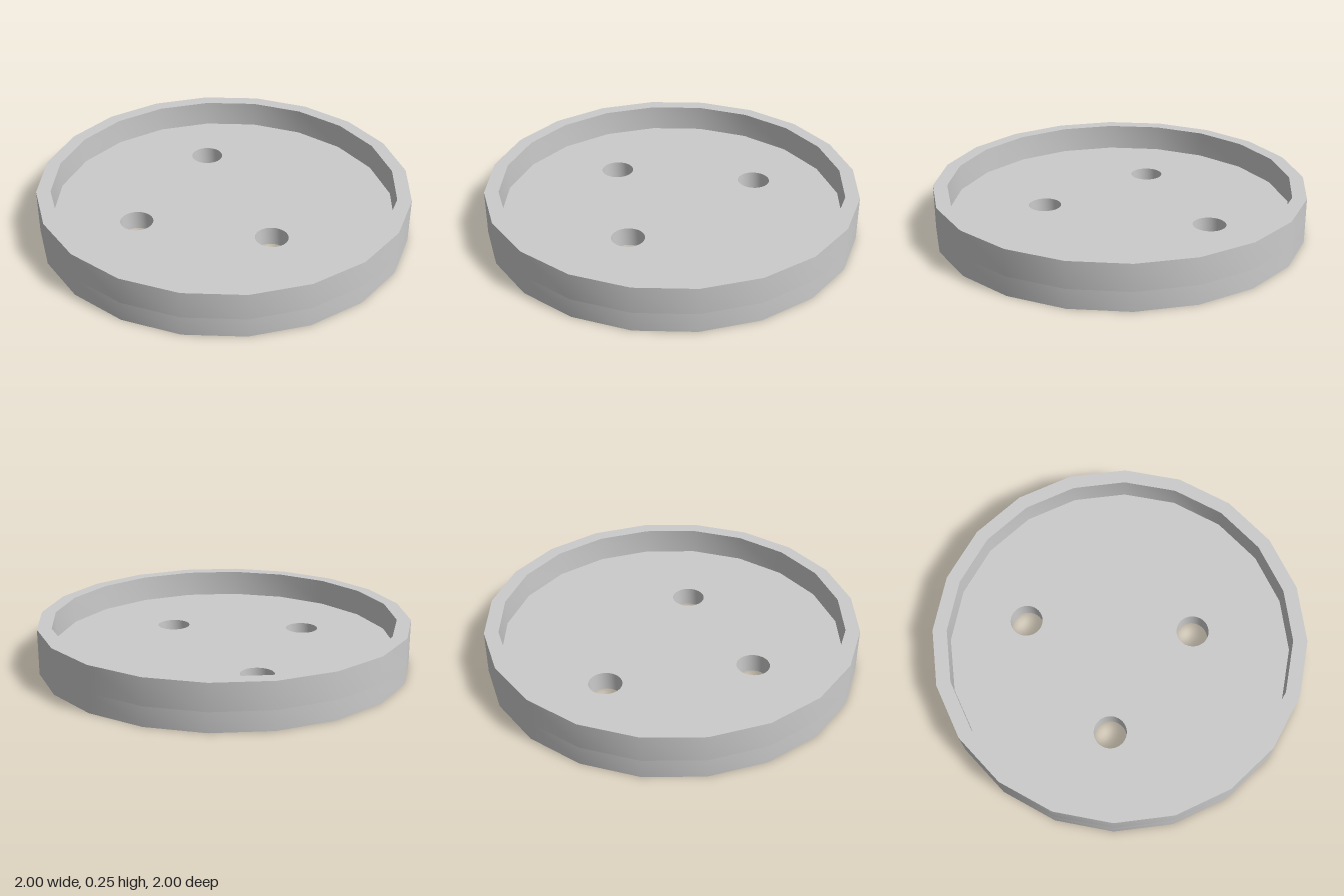
import * as THREE from 'three';
import { toCreasedNormals } from 'three/addons/utils/BufferGeometryUtils.js';

const SIDES = 20, HEIGHT = 0.246, FLOOR = 0.103, INNER = 0.924;

// Points of a regular polygon on the ground plane (shape y is -z)
function ring(radius, sides, x = 0, z = 0) {
  return Array.from({ length: sides }, (_, i) => {
    const a = (i / sides) * Math.PI * 2;
    return new THREE.Vector2(x + radius * Math.cos(a), -z + radius * Math.sin(a));
  });
}

// Upright slab with openings, smooth round the sides and sharp at the rims
function slab(name, outline, holes, bottom, top, material) {
  const shape = new THREE.Shape(outline);
  shape.holes = holes.map((points) => new THREE.Path(points));
  const geometry = new THREE.ExtrudeGeometry(shape, { depth: top - bottom, bevelEnabled: false });
  geometry.rotateX(-Math.PI / 2).translate(0, bottom, 0);
  const mesh = new THREE.Mesh(toCreasedNormals(geometry, Math.PI / 6), material);
  mesh.name = name;
  return mesh;
}

export function createModel() {
  const model = new THREE.Group();
  model.name = 'drainTray';
  const material = new THREE.MeshStandardMaterial({ color: 0xcccccc });

  // Floor pierced by three round holes
  const holes = [[-0.04, -0.53], [-0.48, 0.12], [0.21, 0.35]]
    .map(([x, z]) => ring(0.088, 40, x, z));
  model.add(slab('floor', ring(1, SIDES), holes, 0, FLOOR, material));

  // Raised wall around the edge
  model.add(slab('rimWall', ring(1, SIDES), [ring(INNER, SIDES)], FLOOR, HEIGHT, material));
  return model;
}
